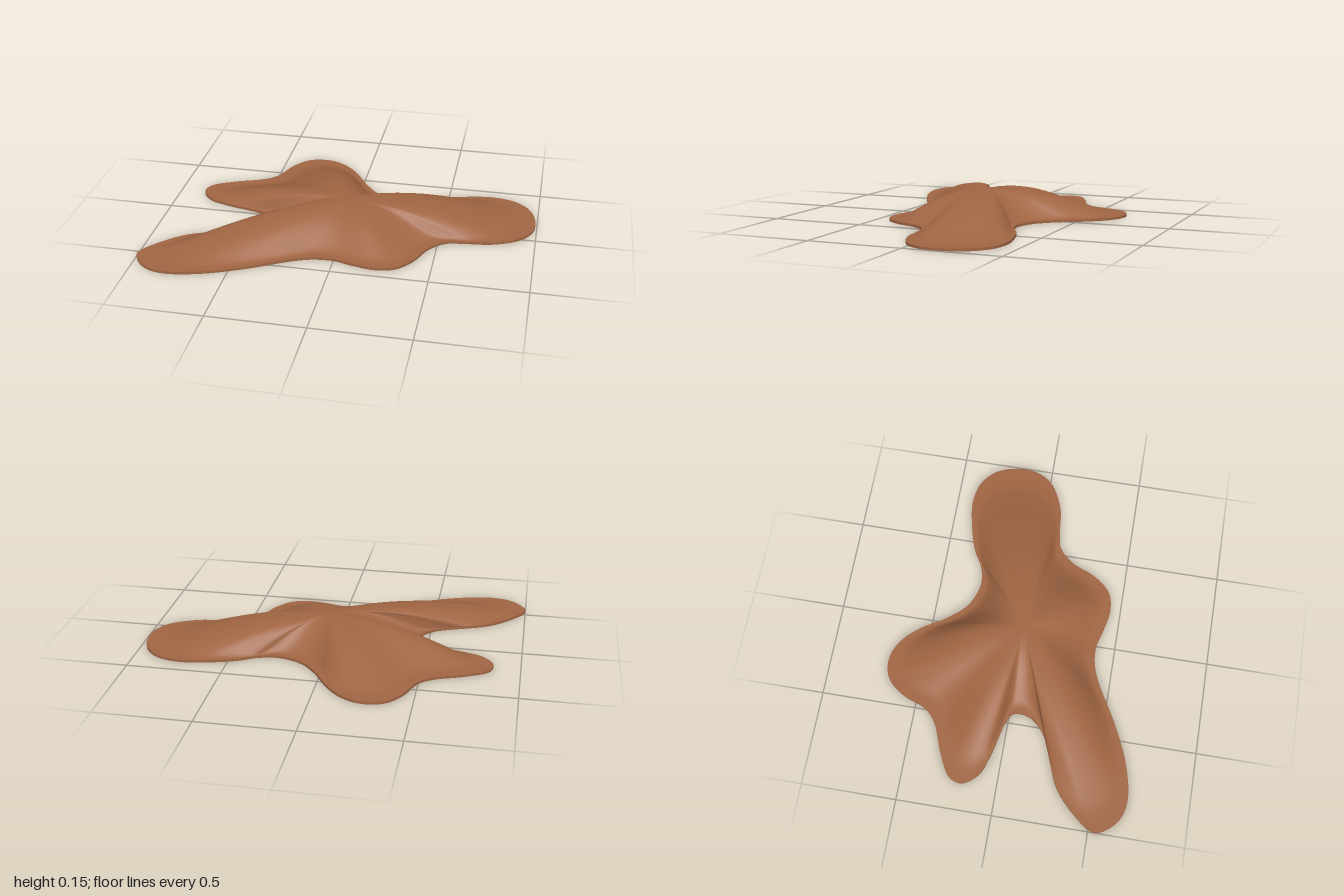
import * as THREE from 'three';

// Lobed footprint as x, z pairs, counter-clockwise seen from above
const OUTLINE = [
  -1, .53, -.97, .6, -.9, .66, -.8, .68, -.62, .645, -.42, .56, -.2, .44, -.1, .405,
  0, .4, .1, .425, .22, .445, .32, .42, .4, .33, .46, .2, .54, .12, .64, .1,
  .78, .08, .92, .01, .98, -.08, .99, -.18, .95, -.31, .86, -.39, .74, -.415, .6, -.395,
  .45, -.35, .36, -.3, .25, -.28, .12, -.325, .03, -.42, -.06, -.56, -.15, -.65, -.25, -.69,
  -.36, -.67, -.44, -.58, -.5, -.44, -.57, -.38, -.72, -.32, -.84, -.25, -.86, -.18, -.8, -.1,
  -.7, -.06, -.5, -.01, -.45, .02, -.45, .1, -.52, .185, -.65, .245, -.8, .305, -.92, .41,
];
const SEGMENTS = 288;
const RINGS = 24;
const THICKNESS = 0.013;

// Height by the fraction of the way from the peak to the outline, flat near the edge
function topHeight(t) {
  return 0.014 + 0.14 * Math.max(0, 1 - (t / 0.9) ** 2.4) ** 1.4;
}

function bottomHeight(t) {
  return topHeight(t) - THICKNESS;
}

function makeGeometry(positions, indices) {
  const g = new THREE.BufferGeometry();
  g.setAttribute('position', new THREE.Float32BufferAttribute(positions, 3));
  g.setIndex(indices);
  g.computeVertexNormals();
  return g;
}

// Concentric copies of the outline, lifted by a height rule
function sheet(rim, height, faceUp) {
  const pos = [0, height(0), 0];
  const idx = [];
  const tri = (a, b, c) => (faceUp ? idx.push(a, b, c) : idx.push(a, c, b));
  for (let r = 1; r <= RINGS; r++) {
    const t = r / RINGS;
    for (const p of rim) pos.push(p.x * t, height(t), p.z * t);
  }
  const at = (r, i) => 1 + (r - 1) * SEGMENTS + (i % SEGMENTS);
  for (let i = 0; i < SEGMENTS; i++) {
    tri(0, at(1, i), at(1, i + 1));
    for (let r = 1; r < RINGS; r++) {
      tri(at(r, i), at(r + 1, i), at(r + 1, i + 1));
      tri(at(r, i), at(r + 1, i + 1), at(r, i + 1));
    }
  }
  return makeGeometry(pos, idx);
}

// Thin wall joining the two sheets
function wall(rim) {
  const pos = [];
  const idx = [];
  rim.forEach((p, i) => {
    pos.push(p.x, bottomHeight(1), p.z, p.x, topHeight(1), p.z);
    const a = 2 * i;
    const b = 2 * ((i + 1) % SEGMENTS);
    idx.push(a, b, b + 1, a, b + 1, a + 1);
  });
  return makeGeometry(pos, idx);
}

export function createModel() {
  const brown = new THREE.MeshStandardMaterial({ color: 0xa06543 });
  brown.name = 'brown';

  const points = [];
  for (let i = 0; i < OUTLINE.length; i += 2) {
    points.push(new THREE.Vector3(OUTLINE[i], 0, OUTLINE[i + 1]));
  }
  const rim = new THREE.CatmullRomCurve3(points, true).getPoints(SEGMENTS).slice(0, SEGMENTS);

  const group = new THREE.Group();
  group.name = 'lobedMound';
  const add = (name, geometry) => {
    const mesh = new THREE.Mesh(geometry, brown);
    mesh.name = name;
    group.add(mesh);
  };
  add('topSurface', sheet(rim, topHeight, true));
  add('underside', sheet(rim, bottomHeight, false));
  add('rim', wall(rim));
  return group;
}
